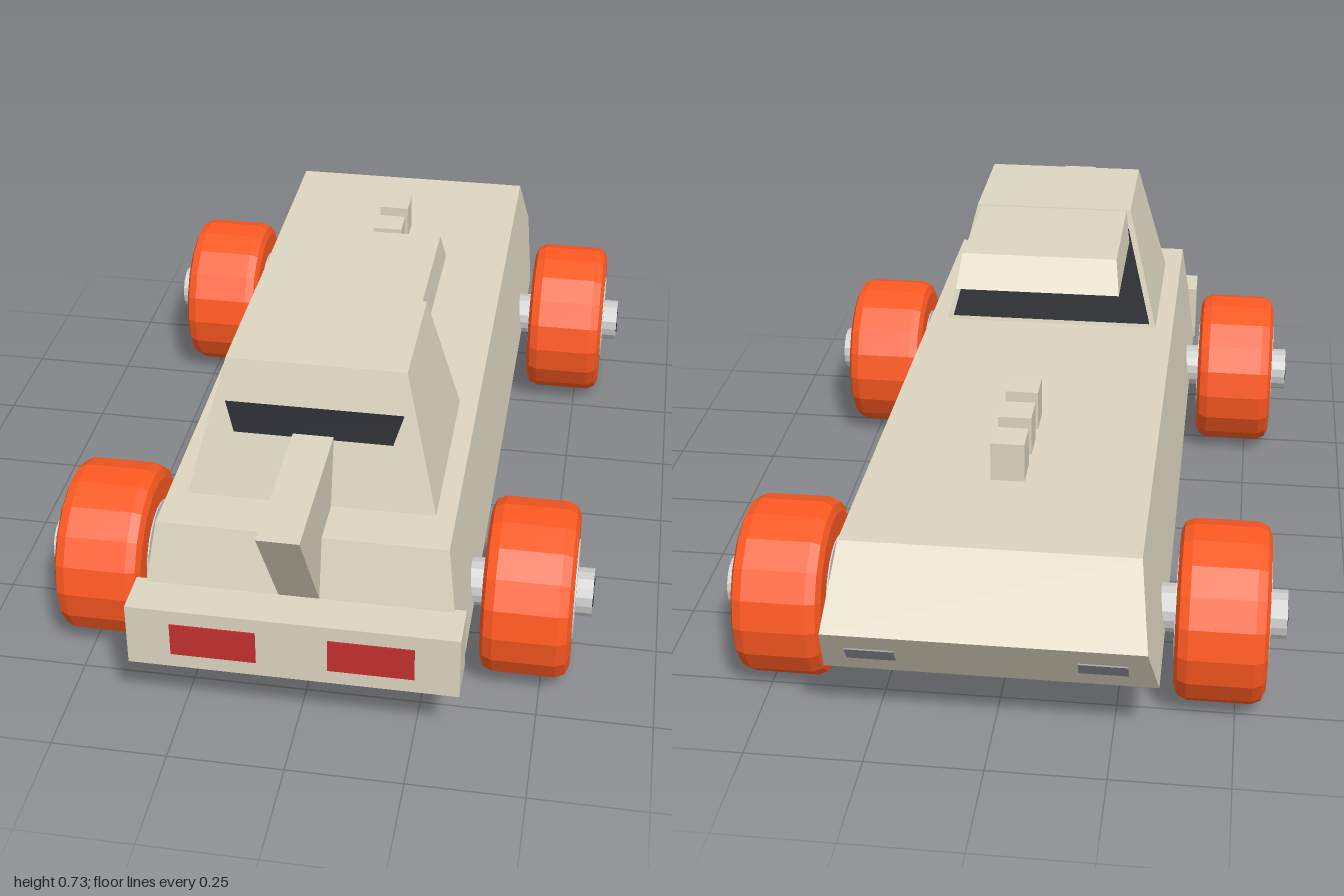
import * as THREE from 'three';

const mat = (color, flatShading = true) => new THREE.MeshStandardMaterial({ color, flatShading });
const paint = mat(0xddd5c0);
const glass = mat(0x24262c);
const red = mat(0xc43030);
const lampGrey = mat(0x8c8c96);
const rubber = mat(0xff5a22);
const metal = mat(0xd8d8d8);
const black = mat(0x222222);

function add(parent, name, geometry, material, x = 0, y = 0, z = 0) {
  const mesh = new THREE.Mesh(geometry, material);
  mesh.name = name;
  mesh.position.set(x, y, z);
  parent.add(mesh);
  return mesh;
}

// Solid from a side profile of [z, y] points; half width goes linearly from w0 at y0 to w1 at y1
function taperedSlab(points, y0, w0, y1, w1) {
  const shape = new THREE.Shape(points.map(([z, y]) => new THREE.Vector2(z, y)));
  const geo = new THREE.ExtrudeGeometry(shape, { depth: 1, bevelEnabled: false });
  const p = geo.attributes.position;
  for (let i = 0; i < p.count; i++) {
    const z = p.getX(i), y = p.getY(i);
    const half = w0 + (w1 - w0) * (y - y0) / (y1 - y0);
    p.setXYZ(i, p.getZ(i) > 0.5 ? -half : half, y, z);
  }
  geo.computeVertexNormals();
  return geo;
}

// Wheel with its axle stub, outer side towards +x
function createWheel() {
  const wheel = new THREE.Group();
  const sides = 18;
  const tyreProfile = [
    [0.05, -0.096], [0.165, -0.096], [0.184, -0.088], [0.193, -0.068],
    [0.193, 0.068], [0.184, 0.088], [0.165, 0.096], [0.05, 0.096],
  ].map(([r, h]) => new THREE.Vector2(r, h));
  const parts = [
    ['tyre', new THREE.LatheGeometry(tyreProfile, sides), rubber, 0.465],
    ['hubDisc', new THREE.CylinderGeometry(0.113, 0.113, 0.198, 24), metal, 0.465],
    ['axle', new THREE.CylinderGeometry(0.053, 0.053, 0.27, 16), metal, 0.465],
    ['axleCap', new THREE.CylinderGeometry(0.031, 0.031, 0.02, 16), black, 0.592],
  ];
  for (const [name, geo, material, x] of parts) {
    geo.rotateZ(-Math.PI / 2);
    add(wheel, name, geo, material, x);
  }
  return wheel;
}

export function createModel() {
  const car = new THREE.Group();
  car.name = 'car';

  // Hull with pointed nose
  add(car, 'body', taperedSlab([
    [0.81, 0.165], [0.81, 0.31], [0.775, 0.44], [-0.89, 0.462], [-1, 0.31], [-0.9, 0.165],
  ], 0.165, 0.345, 0.45, 0.305), paint);

  // Cabin, roof visor and windows
  add(car, 'cabin', taperedSlab([
    [0.668, 0.43], [0.585, 0.735], [0.285, 0.735], [0.22, 0.43],
  ], 0.44, 0.265, 0.735, 0.19), paint);
  add(car, 'roofVisor', taperedSlab([
    [0.29, 0.732], [-0.03, 0.732], [-0.075, 0.66], [0.28, 0.66],
  ], 0.66, 0.19, 0.732, 0.18), paint);
  add(car, 'windshield', taperedSlab([
    [0.25, 0.458], [0.28, 0.69], [0.27, 0.69], [0.222, 0.458],
  ], 0.458, 0.247, 0.69, 0.187), glass);
  add(car, 'rearWindow', taperedSlab([
    [0.629, 0.583], [0.612, 0.645], [0.59, 0.645], [0.6, 0.583],
  ], 0.583, 0.168, 0.645, 0.188), glass);

  // Tail fin
  add(car, 'tailFin', taperedSlab([
    [1, 0.59], [0.62, 0.59], [0.7, 0.31], [0.81, 0.31],
  ], 0, 0.043, 1, 0.043), paint);

  // Bumper
  add(car, 'rearBumper', new THREE.BoxGeometry(0.696, 0.145, 0.1), paint, 0, 0.2375, 0.85);

  // Hood blocks
  for (const z of [-0.325, -0.448, -0.57]) {
    add(car, 'hoodBlock', new THREE.BoxGeometry(0.072, 0.11, 0.075), paint, 0, 0.49, z);
  }

  for (const side of [1, -1]) {
    // Lamps
    add(car, 'tailLight', new THREE.BoxGeometry(0.18, 0.077, 0.01), red, side * 0.165, 0.238, 0.898);
    const lamp = add(car, 'headlight', new THREE.BoxGeometry(0.1, 0.046, 0.01), lampGrey, side * 0.235, 0.238, -0.948);
    lamp.rotation.x = -Math.atan2(0.1, 0.145);

    // Wheels
    for (const [name, z] of [['rearWheel', 0.552], ['frontWheel', -0.648]]) {
      const wheel = createWheel();
      wheel.name = name;
      wheel.position.set(0, 0.195, z);
      wheel.rotation.y = side > 0 ? 0 : Math.PI;
      car.add(wheel);
    }
  }
  return car;
}
